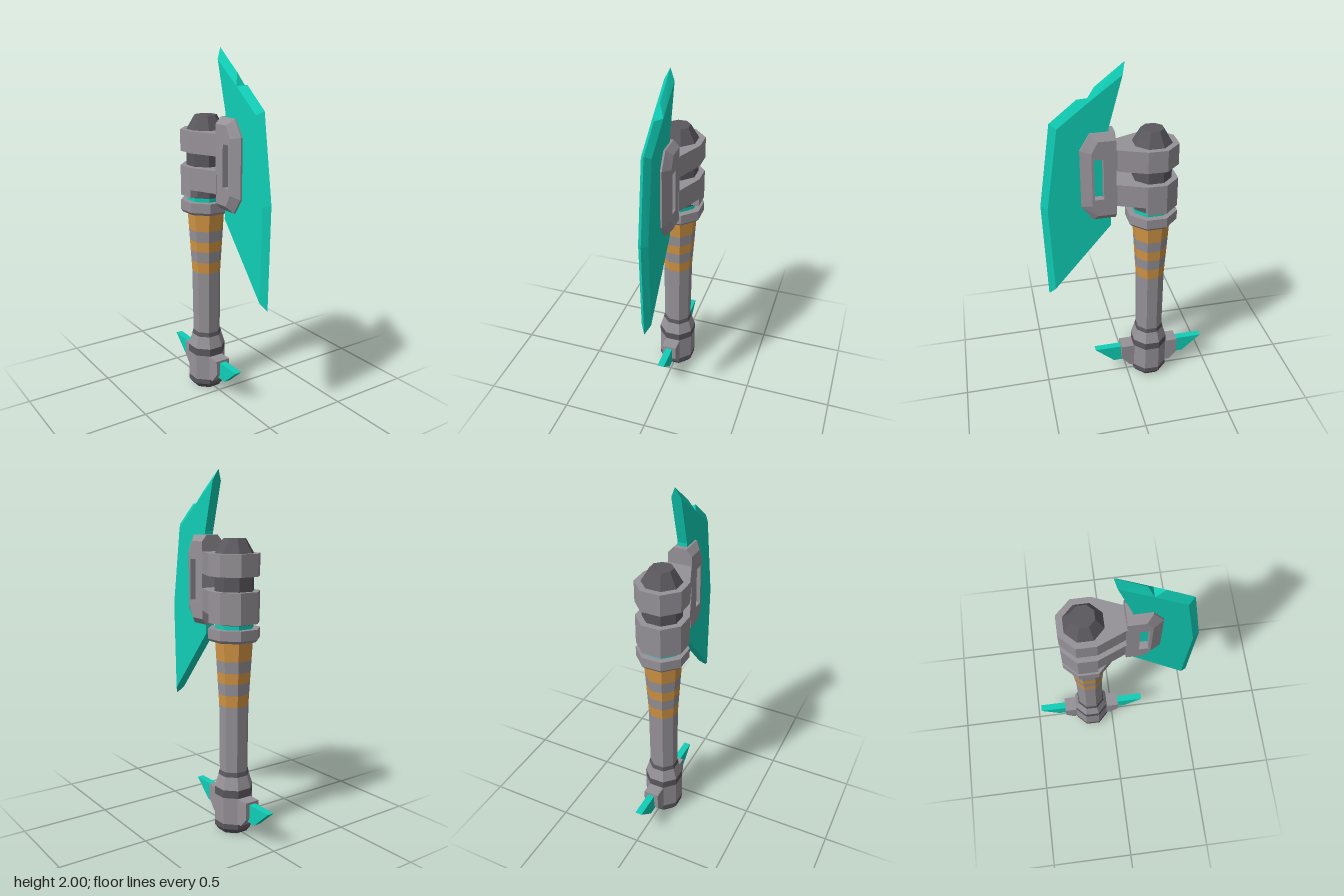
import * as THREE from 'three';

const mat = (name, color) => {
  const m = new THREE.MeshStandardMaterial({ color });
  m.name = name;
  return m;
};

export function createModel() {
  const steel = mat('steel grey', 0x969298);
  const dark = mat('dark iron', 0x5b585e);
  const crystal = mat('teal crystal', 0x10ceb6);
  const leather = mat('tan leather', 0xd19545);

  const root = new THREE.Group();
  root.name = 'battleAxe';
  const AXIS = -0.137; // z of the shaft

  // Adds a mesh with hard-edged faces
  function add(name, geo, material, parent = root) {
    const g = geo.index ? geo.toNonIndexed() : geo;
    g.computeVertexNormals();
    const m = new THREE.Mesh(g, material);
    m.name = name;
    parent.add(m);
    return m;
  }

  // Octagonal section of the shaft, measured across its flats
  function section(name, y0, y1, r0, r1, material) {
    const k = 1 / Math.cos(Math.PI / 8);
    const g = new THREE.CylinderGeometry(r1 * k, r0 * k, y1 - y0, 8);
    g.rotateY(Math.PI / 8).translate(0, (y0 + y1) / 2, AXIS);
    return add(name, g, material);
  }

  // Skin through [z, y] rings at growing x; rings run clockwise with z to the right.
  // Caps fan out from the last point of the ring.
  function loft(rings, xs, caps) {
    const pos = [];
    const P = (k, i) => new THREE.Vector3(xs[k], rings[k][i][1], rings[k][i][0]);
    const tri = (a, b, c) => {
      const area = b.clone().sub(a).cross(c.clone().sub(a)).length();
      if (area > 1e-7) for (const p of [a, b, c]) pos.push(p.x, p.y, p.z);
    };
    const n = rings[0].length;
    const last = rings.length - 1;
    for (let k = 0; k < last; k++) {
      for (let i = 0; i < n; i++) {
        const j = (i + 1) % n;
        tri(P(k, i), P(k, j), P(k + 1, j));
        tri(P(k, i), P(k + 1, j), P(k + 1, i));
      }
    }
    if (caps) {
      for (let i = 0; i < n - 2; i++) {
        tri(P(0, n - 1), P(0, i + 1), P(0, i));
        tri(P(last, n - 1), P(last, i), P(last, i + 1));
      }
    }
    const g = new THREE.BufferGeometry();
    g.setAttribute('position', new THREE.Float32BufferAttribute(pos, 3));
    return g;
  }

  const shapeOf = pts => new THREE.Shape(pts.map(p => new THREE.Vector2(p[0], p[1])));

  // Plate with a [z, y] outline, centred on x = 0
  function sidePlate(shape, width) {
    const g = new THREE.ExtrudeGeometry(shape, { depth: width, bevelEnabled: false });
    return g.translate(0, 0, -width / 2).rotateY(-Math.PI / 2);
  }

  // Plate with an [x, z] outline between two heights
  function levelPlate(pts, y0, y1) {
    const shape = shapeOf(pts.map(([x, z]) => [x, -z]));
    const g = new THREE.ExtrudeGeometry(shape, { depth: y1 - y0, bevelEnabled: false });
    return g.rotateX(-Math.PI / 2).translate(0, y0, 0);
  }

  // Pommel and grip
  section('pommelTip', 0, 0.03, 0.08, 0.1, dark);
  section('pommelBase', 0.03, 0.06, 0.101, 0.101, dark);
  section('pommel', 0.06, 0.215, 0.101, 0.101, steel);
  section('pommelBand', 0.215, 0.26, 0.101, 0.101, dark);
  section('pommelShoulder', 0.26, 0.33, 0.101, 0.081, steel);
  section('gripRing', 0.33, 0.355, 0.081, 0.076, dark);
  section('grip', 0.355, 0.73, 0.074, 0.077, steel);

  // Tapered upper grip with leather wraps
  const cuts = [0.73, 0.795, 0.86, 0.92, 0.985, 1.09];
  const taper = y => 0.077 + (y - 0.73) / 0.36 * 0.021;
  for (let i = 0; i < 5; i++) {
    const wrap = i % 2 === 0;
    section(wrap ? 'leatherWrap' : 'gripGap', cuts[i], cuts[i + 1],
      taper(cuts[i]), taper(cuts[i + 1]), wrap ? leather : steel);
  }

  // Collar, glowing ring, core and cap
  section('collarBevel', 1.09, 1.105, 0.122, 0.134, steel);
  section('collar', 1.105, 1.16, 0.134, 0.134, steel);
  section('crystalRing', 1.16, 1.182, 0.099, 0.099, crystal);
  section('core', 1.182, 1.56, 0.1, 0.1, dark);
  section('coreCap', 1.56, 1.637, 0.1, 0.058, dark);

  // Clamps that hold the blade on the shaft
  const half = [[0.055, -0.27], [0.133, -0.19], [0.133, -0.085]];
  const mirror = pts => [...pts, ...pts.map(([x, z]) => [-x, z]).reverse()];
  const clampOutline = mirror([...half, [0.07, 0.065], [0.07, 0.08]]);
  add('upperClamp', levelPlate(clampOutline, 1.44, 1.56), steel);
  add('lowerClamp', levelPlate(clampOutline, 1.235, 1.36), steel);
  add('lowerClampLip', levelPlate(mirror(half), 1.19, 1.235), steel);

  // Blade housing: slotted plate with a bevelled rim
  const inner = [[0.07, 1.615], [0.165, 1.615], [0.2, 1.55], [0.2, 1.25], [0.165, 1.185], [0.07, 1.185]];
  const outer = [[0.07, 1.65], [0.2, 1.65], [0.255, 1.56], [0.255, 1.235], [0.195, 1.15], [0.07, 1.15]];
  const plate = shapeOf(inner);
  plate.holes.push(new THREE.Path([[0.137, 1.283], [0.187, 1.283], [0.187, 1.515], [0.137, 1.515]]
    .map(p => new THREE.Vector2(p[0], p[1]))));
  const housing = new THREE.Group();
  housing.name = 'bladeHousing';
  root.add(housing);
  add('slottedPlate', sidePlate(plate, 0.138), steel, housing);
  add('housingRim', loft([inner, outer, outer, inner], [-0.069, -0.037, 0.037, 0.069], false), steel, housing);

  // Crystal blade: sharp edge at x = 0, flat cheeks, a notch near the top
  const notch = [0.196, 1.815];
  const back = [[0.095, 1.095], [0.1, 1.67]];
  const edge = [[0.01, 2], [0.165, 1.88], notch, [0.255, 1.822], [0.4, 1.707], [0.47, 1.245], [0.456, 0.67], ...back];
  const cheek = [[0.026, 1.94], notch, notch, notch, [0.365, 1.685], [0.435, 1.235], [0.42, 0.712], ...back];
  add('blade', loft([cheek, edge, cheek], [-0.027, 0, 0.027], true), crystal);

  // Pommel block with a crystal spike at each end
  add('pommelBlock', sidePlate(shapeOf([
    [0.04, 0.213], [0.04, 0.125], [-0.01, 0.065], [-0.265, 0.065], [-0.31, 0.115], [-0.31, 0.213],
  ]), 0.088), steel);
  add('frontSpike', sidePlate(shapeOf([[0.02, 0.2], [0.2, 0.2], [0.085, 0.097], [0.02, 0.097]]), 0.04), crystal);
  add('backSpike', sidePlate(shapeOf([[-0.29, 0.2], [-0.47, 0.2], [-0.355, 0.097], [-0.29, 0.097]]), 0.04), crystal);

  return root;
}
